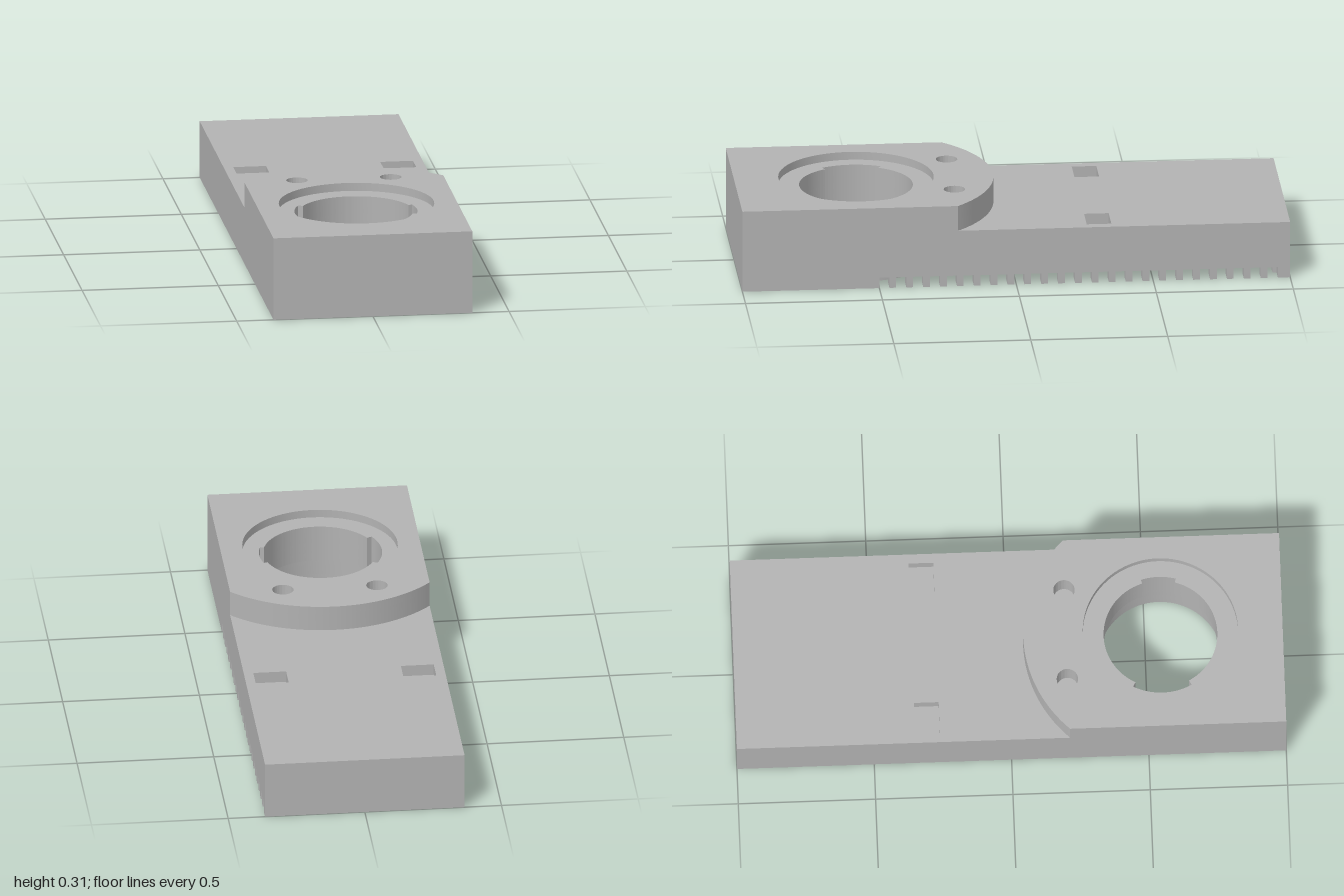
import * as THREE from 'three';
import { toCreasedNormals } from 'three/addons/utils/BufferGeometryUtils.js';

const W = 0.365;       // half width
const WALL = 0.06;     // rim thickness
const IN = W - WALL;
const CZ = 0.555;      // bore centre along z

export function createModel() {
  const model = new THREE.Group();
  const grey = new THREE.MeshStandardMaterial({ color: 0xb2b2b2 });

  // Horizontal slab: outline drawn in (x, z), filling y0 to y1
  const slab = (name, shape, holes, y0, y1) => {
    shape.holes = holes;
    const geo = new THREE.ExtrudeGeometry(shape, { depth: y1 - y0, bevelEnabled: false, curveSegments: 48 });
    geo.rotateX(Math.PI / 2).translate(0, y1, 0);
    const mesh = new THREE.Mesh(toCreasedNormals(geo, 0.4), grey);
    mesh.name = name;
    model.add(mesh);
  };
  const poly = (pts) => new THREE.Shape(pts.map(([x, z]) => new THREE.Vector2(x, z)));
  const rect = (x0, x1, z0, z1) => poly([[x0, z0], [x1, z0], [x1, z1], [x0, z1]]);
  const circle = (x, z, r) => new THREE.Shape().absarc(x, z, r, 0, Math.PI * 2);
  const plate = () => rect(-W, W, -1, 1);

  // Front deck outline with an arched rear edge
  const deck = () => {
    const s = new THREE.Shape();
    const r = 0.5;
    const a = Math.acos(W / r);
    s.moveTo(-W, 1);
    s.lineTo(W, 1);
    s.absarc(0, CZ, r, -a, a - Math.PI, true);
    return s;
  };

  // Narrow bore with a small notch on one side and a wide one on the other
  const lip = () => {
    const p = new THREE.Path();
    const a = 0.29, b = 0.49, PI = Math.PI;
    p.absarc(0, CZ, 0.222, -a, a);
    p.absarc(0, CZ, 0.207, a, PI - b);
    p.absarc(0, CZ, 0.226, PI - b, PI + b);
    p.absarc(0, CZ, 0.207, PI + b, 2 * PI - a);
    return p;
  };
  const bore = () => circle(0, CZ, 0.226);
  const pockets = () => [rect(-0.33, -0.21, -0.35, -0.26), rect(0.21, 0.33, -0.35, -0.26)];
  const pinHoles = () => [-0.172, 0.172].map((x) => circle(x, 0.21, 0.039));

  // Underside rim: open along the slotted side, closed above the slots
  slab('lowerRim', poly([
    [W, 0.5], [W, 1], [-W, 1], [-W, -1], [W, -1], [W, -0.955],
    [IN, -0.955], [IN, -0.94], [-IN, -0.94], [-IN, 0.94], [IN, 0.94], [IN, 0.5],
  ]), [], 0, 0.04);
  slab('upperRim', plate(), [rect(-IN, IN, -0.94, 0.94)], 0.04, 0.075);

  // Row of teeth between 24 slots
  const pitch = 0.0616, slot = 0.037;
  for (let i = 0; i < 23; i++) {
    const z = 0.5 - i * pitch;
    slab('tooth', rect(IN, W, z - pitch, z - slot), [], 0, 0.04);
  }

  // Socket collar under the plate
  slab('collar', circle(0, CZ, 0.286), [bore()], 0, 0.075);

  // Main plate with the rectangular pockets in its top
  slab('plateLower', plate(), [bore()], 0.075, 0.14);
  slab('plateMiddle', plate(), [lip()], 0.14, 0.17);
  slab('plateUpper', plate(), [lip(), ...pockets()], 0.17, 0.212);

  // Raised deck with pin holes and the round recess
  slab('deckLower', deck(), [lip(), ...pinHoles()], 0.212, 0.277);
  slab('deckUpper', deck(), [circle(0, CZ, 0.283), ...pinHoles()], 0.277, 0.307);

  return model;
}
